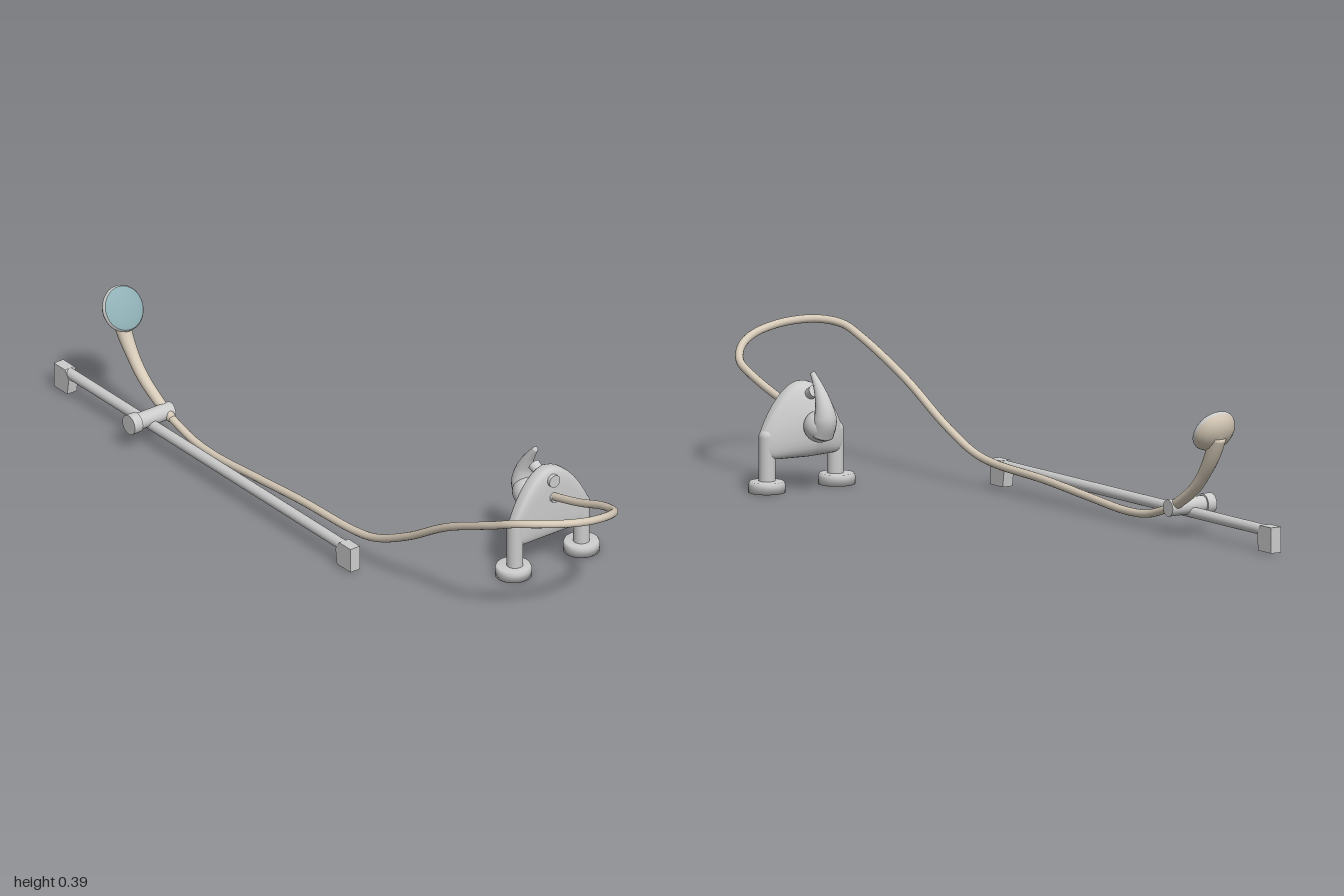
import * as THREE from 'three';

const V = (x, y, z) => new THREE.Vector3(x, y, z);
const mat = (color) => new THREE.MeshStandardMaterial({ color, side: THREE.DoubleSide });

// Tube of changing radius along a smooth path, with closed ends
function taperedTube(points, radii, segs, sides, flat = 1) {
  const curve = new THREE.CatmullRomCurve3(points, false, 'centripetal');
  const frames = curve.computeFrenetFrames(segs);
  const pos = [], idx = [];
  for (let i = 0; i <= segs; i++) {
    const t = i / segs, p = curve.getPointAt(t);
    const k = t * (radii.length - 1), a = Math.min(Math.floor(k), radii.length - 2);
    const r = THREE.MathUtils.lerp(radii[a], radii[a + 1], k - a);
    for (let j = 0; j < sides; j++) {
      const q = (j / sides) * Math.PI * 2;
      const v = p.clone().addScaledVector(frames.normals[i], r * Math.cos(q) * flat)
        .addScaledVector(frames.binormals[i], r * Math.sin(q));
      pos.push(v.x, v.y, v.z);
    }
  }
  return skin(pos, idx, segs, sides, curve.getPointAt(0), curve.getPointAt(1));
}

// Joins equal rings of vertices and caps both ends
function skin(pos, idx, segs, sides, start, end) {
  for (let i = 0; i < segs; i++) for (let j = 0; j < sides; j++) {
    const k = (j + 1) % sides, a = i * sides + j, b = i * sides + k;
    idx.push(a, b, a + sides, b, b + sides, a + sides);
  }
  const s = pos.length / 3, last = segs * sides;
  pos.push(start.x, start.y, start.z, end.x, end.y, end.z);
  for (let j = 0; j < sides; j++) {
    const k = (j + 1) % sides;
    idx.push(s, k, j, s + 1, last + j, last + k);
  }
  const g = new THREE.BufferGeometry();
  g.setAttribute('position', new THREE.Float32BufferAttribute(pos, 3));
  g.setIndex(idx);
  g.computeVertexNormals();
  return g;
}

// Arched mixer body: rounded upright slices swept from side to side
function mixerBodyGeometry() {
  const segs = 40, sides = 32, pos = [];
  const pw = (c, e) => Math.sign(c) * Math.abs(c) ** e;
  for (let i = 0; i <= segs; i++) {
    const u = -Math.cos((i / segs) * Math.PI), w = Math.abs(u);
    const top = 0.293 - 0.143 * u * u, bottom = 0.088 + 0.02 * w ** 10;
    const round = Math.sqrt(Math.max(0, 1 - w ** 8));
    const front = 0.58 + 0.023 * round;
    const back = 0.58 - (0.022 + 0.05 * (1 - w)) * round;
    for (let j = 0; j < sides; j++) {
      const q = (j / sides) * Math.PI * 2;
      const sy = pw(Math.sin(q), 0.55), cz = pw(Math.cos(q), 0.55);
      const y = (top + bottom) / 2 + sy * (top - bottom) / 2;
      // The rear slopes forward towards the crown
      const lean = cz < 0 ? 1 - 0.45 * Math.max(0, sy) : 1;
      const mid = 0.58;
      const z = mid + (cz > 0 ? cz * (front - mid) : cz * (mid - back) * lean);
      pos.push(0.175 + u * 0.135, y, z);
    }
  }
  return skin(pos, [], segs, sides, V(0.04, 0.13, 0.58), V(0.31, 0.13, 0.58));
}

export function createModel() {
  const root = new THREE.Group();
  const grey = mat(0xcccccc), beige = mat(0xd6cab8), blue = mat(0x8fb0b5);
  const group = (name) => {
    const g = new THREE.Group();
    g.name = name;
    root.add(g);
    return g;
  };
  const add = (parent, name, geo, material, x = 0, y = 0, z = 0) => {
    const m = new THREE.Mesh(geo, material);
    m.name = name;
    m.position.set(x, y, z);
    parent.add(m);
    return m;
  };
  const lathe = (pts) => new THREE.LatheGeometry(pts.map((p) => new THREE.Vector2(...p)), 40);

  // Slide rail with a bracket at each end
  const rail = group('slideRail');
  add(rail, 'railBar', new THREE.CylinderGeometry(0.015, 0.015, 1.29, 24), grey, -0.271, 0.06, -0.35)
    .rotation.x = Math.PI / 2;
  for (const [z, dir] of [[0.31, -1], [-1, 1]]) {
    const side = new THREE.Shape();
    side.moveTo(0, 0.005);
    side.lineTo(0.06, 0.005);
    side.lineTo(0.066, 0.05);
    side.lineTo(0.05, 0.075);
    side.lineTo(0, 0.075);
    const geo = new THREE.ExtrudeGeometry(side, { depth: 0.032, bevelEnabled: false });
    const m = add(rail, 'railBracket', geo, grey, dir > 0 ? -0.255 : -0.287, 0, z);
    m.rotation.y = -dir * Math.PI / 2;
  }

  // Sliding holder lying across the rail
  const slider = group('slidingHolder');
  add(slider, 'holderBarrel', new THREE.CylinderGeometry(0.023, 0.023, 0.116, 32), grey, -0.256, 0.077, -0.6)
    .rotation.z = Math.PI / 2;
  add(slider, 'holderKnob', new THREE.CylinderGeometry(0.028, 0.028, 0.028, 32), grey, -0.326, 0.077, -0.6)
    .rotation.z = Math.PI / 2;

  // Hand shower: curved handle and tilted round head
  const shower = group('handShower');
  add(shower, 'handle', taperedTube(
    [V(-0.216, 0.068, -0.57), V(-0.217, 0.092, -0.62), V(-0.218, 0.145, -0.7),
      V(-0.218, 0.21, -0.757), V(-0.218, 0.262, -0.788), V(-0.218, 0.3, -0.804)],
    [0.013, 0.015, 0.016, 0.017, 0.021, 0.024], 36, 24), beige);
  const head = new THREE.Group();
  head.name = 'showerHead';
  head.position.set(-0.218, 0.31, -0.79);
  head.rotation.x = 1.05;
  shower.add(head);
  add(head, 'headBack', lathe([[0, -0.034], [0.02, -0.032], [0.04, -0.025], [0.055, -0.012], [0.062, 0]]), beige);
  add(head, 'headRim', lathe([[0.062, 0], [0.064, 0.004], [0.0635, 0.009], [0.06, 0.013]]), grey);
  add(head, 'sprayFace', lathe([[0.06, 0.013], [0.045, 0.018], [0.025, 0.021], [0, 0.022]]), blue);

  // Hose: from the mixer, round a wide loop and along the rail to the handle
  const path = [V(0.176, 0.207, 0.585), V(0.176, 0.24, 0.71), V(0.175, 0.278, 0.82)];
  for (let i = 1; i < 8; i++) {
    const a = (i / 8) * Math.PI;
    const x = -0.008 + 0.183 * Math.cos(a);
    const y = [0, 0.298, 0.325, 0.347, 0.363, 0.374, 0.377, 0.367][i];
    path.push(V(x, y, 0.82 + 0.166 * Math.sin(a)));
  }
  path.push(V(-0.191, 0.34, 0.82), V(-0.2, 0.25, 0.62), V(-0.208, 0.155, 0.46), V(-0.213, 0.095, 0.33),
    V(-0.215, 0.077, 0.24), V(-0.215, 0.066, 0), V(-0.215, 0.05, -0.2), V(-0.215, 0.037, -0.38),
    V(-0.215, 0.043, -0.48), V(-0.216, 0.068, -0.57));
  const hoseCurve = new THREE.CatmullRomCurve3(path, false, 'centripetal');
  add(root, 'hose', new THREE.TubeGeometry(hoseCurve, 200, 0.011, 14), beige);

  // Mixer tap: arched body on two legs with wall flanges
  const mixer = group('mixerTap');
  add(mixer, 'mixerBody', mixerBodyGeometry(), grey);
  for (const side of [-1, 1]) {
    const x = 0.175 + side * 0.1125;
    add(mixer, 'leg', new THREE.CylinderGeometry(0.0225, 0.0225, 0.13, 28), grey, x, 0.085, 0.58);
    add(mixer, 'legTop', new THREE.SphereGeometry(0.0225, 28, 12, 0, Math.PI * 2, 0, Math.PI / 2), grey, x, 0.15, 0.58);
    add(mixer, 'wallFlange', lathe([[0, 0], [0.05, 0], [0.05, 0.022], [0.046, 0.03], [0, 0.031]]), grey,
      0.175 + side * 0.115, 0, 0.577);
  }

  // Lever: ball joint behind the body with a curved horn handle
  add(mixer, 'leverBall', new THREE.SphereGeometry(0.044, 32, 20), grey, 0.175, 0.18, 0.493);
  add(mixer, 'leverHorn', taperedTube(
    [V(0.176, 0.16, 0.485), V(0.176, 0.2, 0.467), V(0.177, 0.24, 0.472), V(0.177, 0.28, 0.492), V(0.178, 0.322, 0.522)],
    [0.034, 0.032, 0.022, 0.014, 0.007], 28, 20), grey);

  // Diverter through the crown, and the hose outlet collar
  add(mixer, 'diverterButton', new THREE.CylinderGeometry(0.018, 0.018, 0.05, 28), grey, 0.175, 0.26, 0.585)
    .rotation.x = Math.PI / 2;
  add(mixer, 'diverterKnob', new THREE.CylinderGeometry(0.017, 0.013, 0.055, 24), grey, 0.175, 0.26, 0.542)
    .rotation.x = -1.1;
  add(mixer, 'hoseCollar', new THREE.CylinderGeometry(0.013, 0.013, 0.03, 24), grey, 0.176, 0.209, 0.597)
    .rotation.x = Math.PI / 2;
  return root;
}
